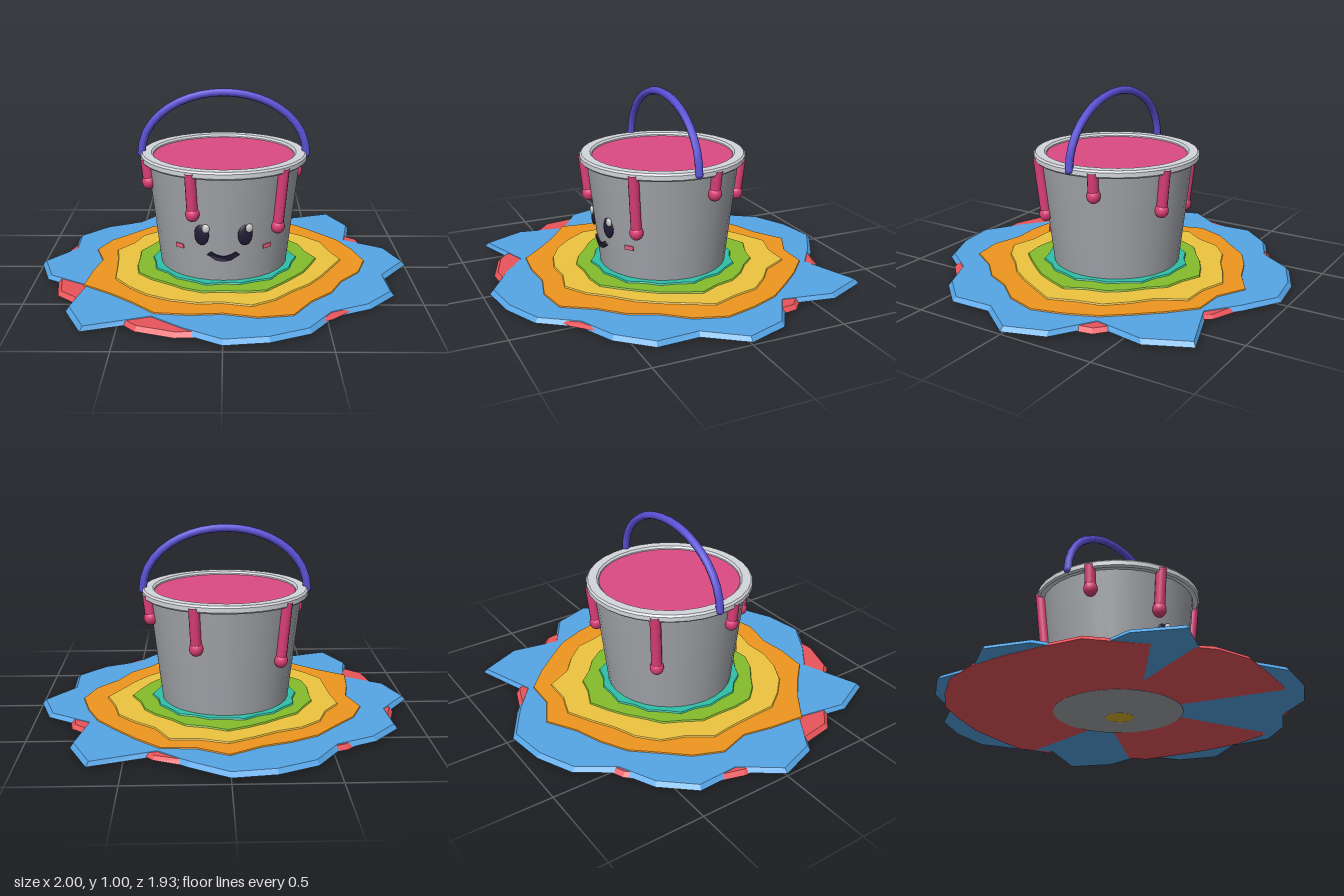
import * as THREE from 'three';
import { toCreasedNormals } from 'three/addons/utils/BufferGeometryUtils.js';

const N = 28; // points round each puddle layer

function add(parent, name, geometry, color, x = 0, y = 0, z = 0) {
  const mesh = new THREE.Mesh(geometry, new THREE.MeshStandardMaterial({ color }));
  mesh.name = name;
  mesh.position.set(x, y, z);
  parent.add(mesh);
  return mesh;
}

// Radius of the bucket wall at height y
const wall = (y) => 0.342 + (y - 0.06) * 0.113;

// Wavy flat slab: radii repeat round the circle, the top edge is bevelled,
// lift(k) raises the underside at a rim point
function slab(radii, y0, y1, bevel, lift = () => 0) {
  const pos = [];
  const tri = (...pts) => pts.forEach((p) => pos.push(...p));
  const rim = (i, inset, y) => {
    const k = i % N, a = (k / N) * Math.PI * 2, r = radii[k % radii.length] - inset;
    return [r * Math.cos(a), y + (inset ? 0 : lift(k)), r * Math.sin(a)];
  };
  for (let i = 0; i < N; i++) {
    const b0 = rim(i, 0, y0), b1 = rim(i + 1, 0, y0);
    const t0 = rim(i, bevel, y1), t1 = rim(i + 1, bevel, y1);
    tri([0, y0, 0], b0, b1);
    tri(b0, t0, b1);
    tri(t0, t1, b1);
    tri([0, y1, 0], t1, t0);
  }
  const g = new THREE.BufferGeometry();
  g.setAttribute('position', new THREE.Float32BufferAttribute(pos, 3));
  g.computeVertexNormals();
  return g;
}

function buildPuddle() {
  const puddle = new THREE.Group();
  puddle.name = 'puddle';
  const red = [0.87, 0.89, 0.9, 0.88, 0.88, 0.85, 0.85, 0.85, 0.885, 0.885, 0.84, 0.85, 0.905, 0.87];
  const blue = [1, 0.88, 0.96, 0.925, 0.855, 0.94, 0.96, 0.965, 0.87, 0.805, 1.064, 0.98, 0.8, 0.953];
  const orange = [0.775, 0.74, 0.68, 0.7, 0.7, 0.78, 0.75, 0.69, 0.72, 0.76, 0.72, 0.73, 0.8, 0.72,
    0.67, 0.74, 0.73, 0.7, 0.71, 0.7, 0.7, 0.775, 0.71, 0.76, 0.73, 0.72, 0.74, 0.75];
  const yellow = [0.645, 0.59, 0.57, 0.565, 0.56, 0.6, 0.63, 0.58, 0.6, 0.61, 0.62, 0.62, 0.63, 0.59,
    0.585, 0.62, 0.58, 0.61, 0.6, 0.575, 0.6, 0.65, 0.62, 0.665, 0.585, 0.6, 0.625, 0.61];
  const green = [0.51, 0.48, 0.47, 0.46, 0.47, 0.5, 0.48, 0.46, 0.48, 0.47, 0.46, 0.48, 0.5, 0.48,
    0.465, 0.48, 0.46, 0.47, 0.45, 0.46, 0.48, 0.515, 0.48, 0.49, 0.46, 0.47, 0.48, 0.47];
  const teal = [0.4, 0.38, 0.39, 0.375];

  const lifts = { 3: 0.012, 4: 0.012, 5: 0.012, 10: 0.006, 23: 0.006, 24: 0.012, 25: 0.006 };
  add(puddle, 'redLayer', slab(red, 0.01, 0.032, 0.02, (k) => lifts[k] || 0), 0xe8545a, -0.025, 0, 0.025);
  add(puddle, 'blueLayer', slab(blue, 0.013, 0.035, 0.02), 0x55a5e6);
  add(puddle, 'orangeLayer', slab(orange, 0.03, 0.041, 0.004), 0xee961e);
  add(puddle, 'yellowLayer', slab(yellow, 0.036, 0.048, 0.006), 0xecc440);
  add(puddle, 'greenLayer', slab(green, 0.042, 0.056, 0.006), 0x86bd2c);
  add(puddle, 'tealLayer', slab(teal, 0.05, 0.064, 0.006), 0x2fc0a8);
  add(puddle, 'yellowBlob', new THREE.SphereGeometry(1, 16, 10), 0xd8b62c, 0.07, 0.01, -0.04)
    .scale.set(0.075, 0.01, 0.075);
  return puddle;
}

function buildBucket() {
  const bucket = new THREE.Group();
  bucket.name = 'bucket';
  const lathe = (pts) => toCreasedNormals(
    new THREE.LatheGeometry(pts.map((p) => new THREE.Vector2(...p)), 32), 0.6);

  add(bucket, 'bucketBody', lathe([[0, 0.009], [0.335, 0.009], [wall(0.06), 0.06], [wall(0.64), 0.64]]), 0xa3a6ab);
  add(bucket, 'rim', lathe([[0.4, 0.625], [0.432, 0.623], [0.441, 0.632], [0.441, 0.655], [0.432, 0.665],
    [0.385, 0.665], [0.375, 0.655], [0.372, 0.62]]), 0xd2d5da);
  add(bucket, 'paintSurface', new THREE.CylinderGeometry(0.376, 0.376, 0.02, 32), 0xdc4a82, 0, 0.638, 0);

  // Half-hoop handle
  const arc = [];
  for (let i = 0; i <= 14; i++) {
    const a = (i / 14) * Math.PI;
    arc.push(new THREE.Vector3(-0.438 * Math.cos(a), 0.65 + 0.328 * Math.sin(a), 0));
  }
  add(bucket, 'handle', new THREE.TubeGeometry(new THREE.CatmullRomCurve3(arc), 20, 0.021, 8), 0x5b51d6);
  for (const s of [-1, 1]) {
    add(bucket, 'handleEnd', new THREE.SphereGeometry(0.021, 8, 6), 0x5b51d6, s * 0.438, 0.65, 0);
  }
  return bucket;
}

// Paint drips: angle from +x toward +z in degrees, height of the drop; each has an opposite twin
function buildDrips() {
  const drips = new THREE.Group();
  drips.name = 'drips';
  for (const [deg, drop] of [[44, 0.335], [-16, 0.525], [-67, 0.43]]) {
    for (const turn of [0, 180]) {
      const a = THREE.MathUtils.degToRad(deg + turn);
      const at = (y) => new THREE.Vector3((wall(y) + 0.014) * Math.cos(a), y, (wall(y) + 0.014) * Math.sin(a));
      const path = new THREE.LineCurve3(at(0.65), at(drop));
      add(drips, 'dripRun', new THREE.TubeGeometry(path, 1, 0.028, 12), 0xdd3f76);
      add(drips, 'dripDrop', new THREE.SphereGeometry(0.036, 16, 12), 0xdd3f76, ...at(drop).toArray())
        .scale.y = 1.1;
    }
  }
  return drips;
}

function buildFace() {
  const face = new THREE.Group();
  face.name = 'face';
  // Point on the front of the wall
  const onWall = (x, y, out = 0) => {
    const r = wall(y) + out;
    return new THREE.Vector3(x, y, Math.sqrt(r * r - x * x));
  };
  const patch = (name, geometry, color, x, y, out, scale) => {
    const m = add(face, name, geometry, color, ...onWall(x, y, out).toArray());
    m.rotation.y = Math.asin(x / wall(y));
    m.scale.set(...scale);
  };
  const ball = new THREE.SphereGeometry(1, 20, 14);
  for (const s of [-1, 1]) {
    patch('eye', ball, 0x221c36, s * 0.11, 0.318, 0, [0.039, 0.056, 0.014]);
    patch('eyeShine', ball, 0xcccccc, s * 0.11 + 0.021, 0.355, 0.008, [0.02, 0.023, 0.01]);
    patch('cheek', new THREE.BoxGeometry(1, 1, 1), 0xe3607f, s * 0.222, 0.236, 0, [0.05, 0.022, 0.012]);
  }
  // Smile thick in the middle, pointed at both ends
  const smile = new THREE.Shape();
  smile.moveTo(-0.082, 0.21);
  smile.lineTo(-0.04, 0.183);
  smile.quadraticCurveTo(0, 0.17, 0.04, 0.183);
  smile.lineTo(0.082, 0.21);
  smile.lineTo(0.062, 0.227);
  smile.quadraticCurveTo(0, 0.18, -0.062, 0.227);
  const g = new THREE.ExtrudeGeometry(smile, { depth: 0.016, bevelEnabled: false, curveSegments: 8 });
  const p = g.attributes.position;
  for (let i = 0; i < p.count; i++) {
    p.setZ(i, onWall(p.getX(i), p.getY(i), p.getZ(i) - 0.006).z);
  }
  g.computeVertexNormals();
  add(face, 'mouth', g, 0x221c36);
  return face;
}

export function createModel() {
  const model = new THREE.Group();
  model.name = 'paintBucket';
  model.add(buildPuddle(), buildBucket(), buildDrips(), buildFace());
  return model;
}
